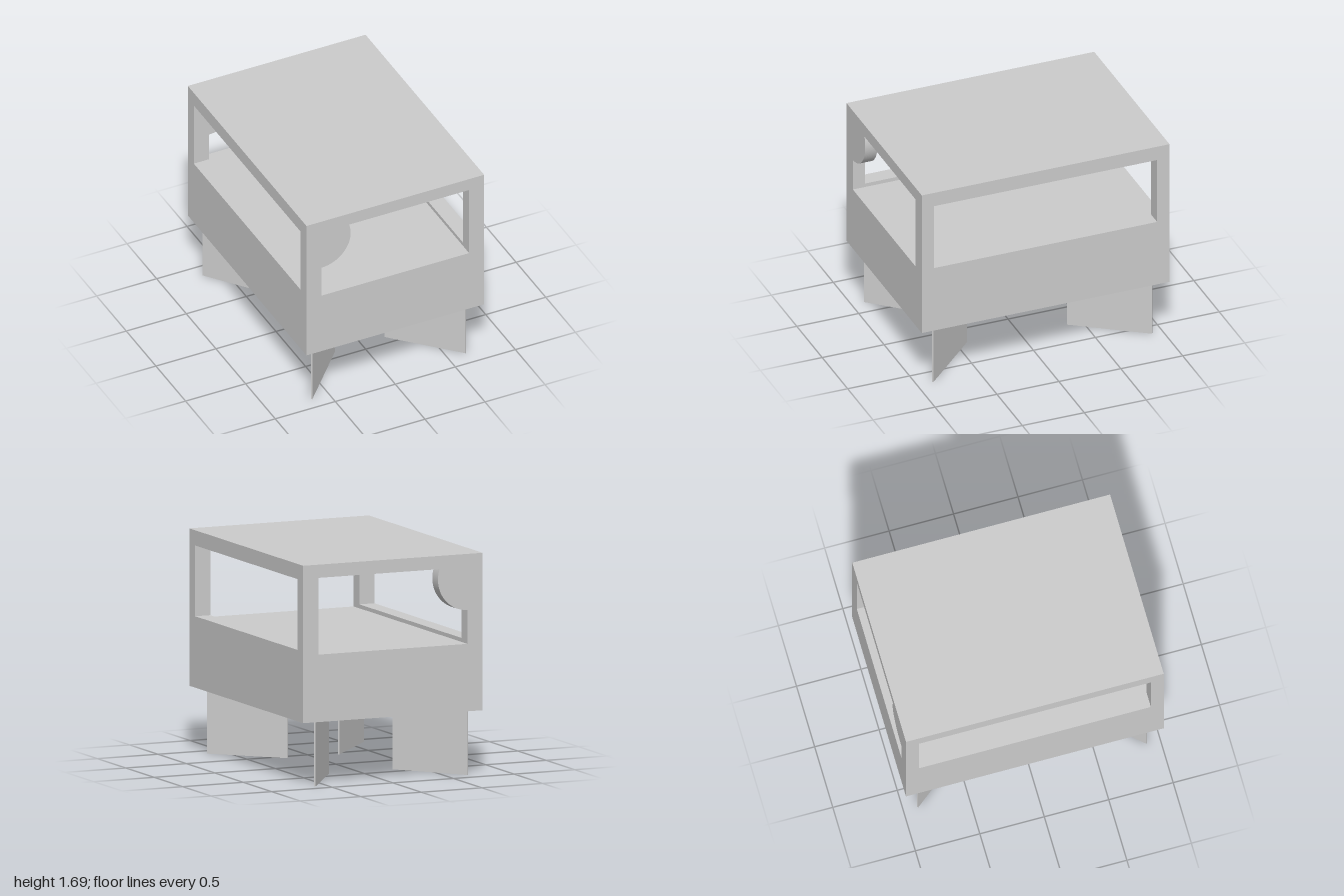
import * as THREE from 'three';

const W = 0.74, D = 1, WALL = 0.1;        // half width, half depth, end wall thickness
const BASE = 0.5, FLOOR = 1.01, CEIL = 1.59, TOP = 1.69;
const IN = 0.615;                         // half width of the end openings

export function createModel() {
  const group = new THREE.Group();
  const mat = new THREE.MeshStandardMaterial({ color: 0xcccccc });

  const add = (name, geometry) => {
    const mesh = new THREE.Mesh(geometry, mat);
    mesh.name = name;
    group.add(mesh);
    return mesh;
  };
  const box = (name, x0, x1, y0, y1, z0, z1) =>
    add(name, new THREE.BoxGeometry(x1 - x0, y1 - y0, z1 - z0))
      .position.set((x0 + x1) / 2, (y0 + y1) / 2, (z0 + z1) / 2);

  // End walls: a window with a rounded bite left in one upper corner
  const wall = new THREE.Shape();
  wall.moveTo(-W, BASE).lineTo(W, BASE).lineTo(W, TOP).lineTo(-W, TOP).closePath();
  const cx = -IN, cy = 1.51, r = 0.243;
  const hole = new THREE.Path();
  hole.moveTo(-IN, FLOOR).lineTo(-IN, cy - r);
  hole.absarc(cx, cy, r, -Math.PI / 2, Math.asin((CEIL - cy) / r), false);
  hole.lineTo(IN, CEIL).lineTo(IN, FLOOR).closePath();
  wall.holes.push(hole);
  const wallGeo = new THREE.ExtrudeGeometry(wall, { depth: WALL, bevelEnabled: false, curveSegments: 32 });
  add('frontWall', wallGeo).position.z = D - WALL;
  add('backWall', wallGeo).position.z = -D;

  // Body between the end walls
  const zi = D - WALL;
  box('base', -W, W, BASE, FLOOR, -zi, zi);
  box('roof', -W, W, CEIL, TOP, -zi, zi);
  for (const [side, x0, x1] of [['left', IN, W], ['right', -W, -IN]]) {
    box(side + 'Sill', x0, x1, FLOOR, 1.04, -zi, zi);
    box(side + 'Lintel', x0, x1, 1.575, CEIL, -zi, zi);
  }

  // Thin plate legs, each running from an inner point towards a corner
  const legs = [
    ['frontLeftLeg', 0.2, 0.42, 0.65, 0.875],
    ['frontRightLeg', -0.22, 0.42, -0.645, 0.895],
    ['backLeftLeg', 0.24, -0.38, 0.605, -0.915],
    ['backRightLeg', -0.28, -0.4, -0.67, -0.89],
  ];
  for (const [name, x0, z0, x1, z1] of legs) {
    const leg = add(name, new THREE.BoxGeometry(Math.hypot(x1 - x0, z1 - z0), BASE, 0.01));
    leg.position.set((x0 + x1) / 2, BASE / 2, (z0 + z1) / 2);
    leg.rotation.y = -Math.atan2(z1 - z0, x1 - x0);
  }
  return group;
}
